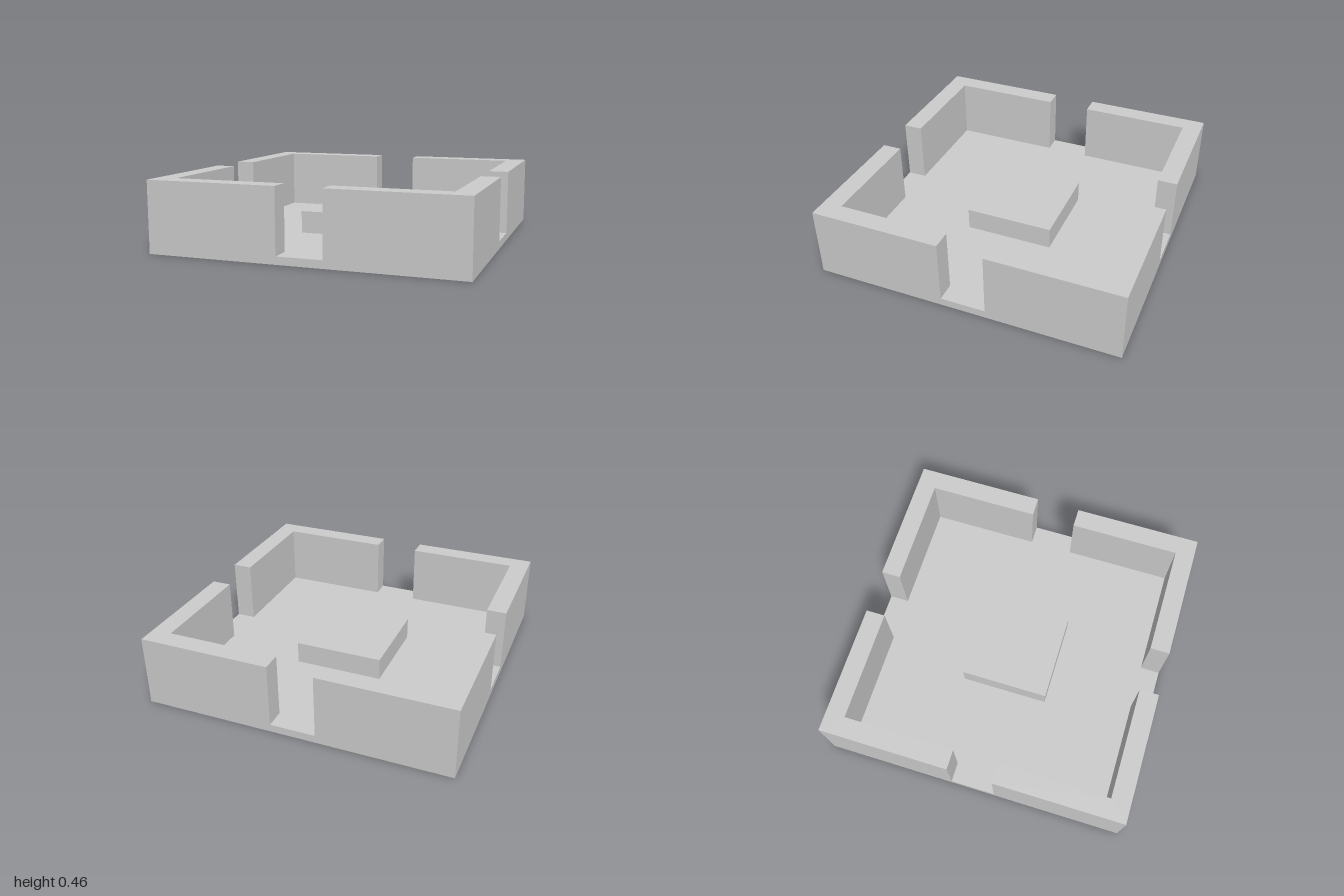
import * as THREE from 'three';

export function createModel() {
  const model = new THREE.Group();
  const material = new THREE.MeshStandardMaterial({ color: 0xcccccc, flatShading: true });
  const floorY = 0.05, wallTop = 0.46, inner = 0.873, gap = 0.147;

  function add(name, geometry, y) {
    const mesh = new THREE.Mesh(geometry, material);
    mesh.name = name;
    mesh.position.y = y;
    model.add(mesh);
    return mesh;
  }

  // Square floor slab
  add('floor', new THREE.BoxGeometry(2, floorY, 2), floorY / 2);

  // Raised block in the middle
  const blockHeight = 0.195 - floorY;
  add('centreBlock', new THREE.BoxGeometry(0.584, blockHeight, 0.584), floorY + blockHeight / 2);

  // L-shaped corner wall, leaving a doorway in the middle of each side
  const outline = new THREE.Shape([
    [gap, inner], [inner, inner], [inner, gap], [1, gap], [1, 1], [gap, 1],
  ].map(([x, y]) => new THREE.Vector2(x, y)));
  const corner = new THREE.ExtrudeGeometry(outline, { depth: wallTop - floorY, bevelEnabled: false });
  corner.rotateX(-Math.PI / 2);

  ['BackLeft', 'BackRight', 'FrontRight', 'FrontLeft'].forEach((place, i) => {
    add('cornerWall' + place, corner, floorY).rotation.y = i * Math.PI / 2;
  });

  return model;
}
